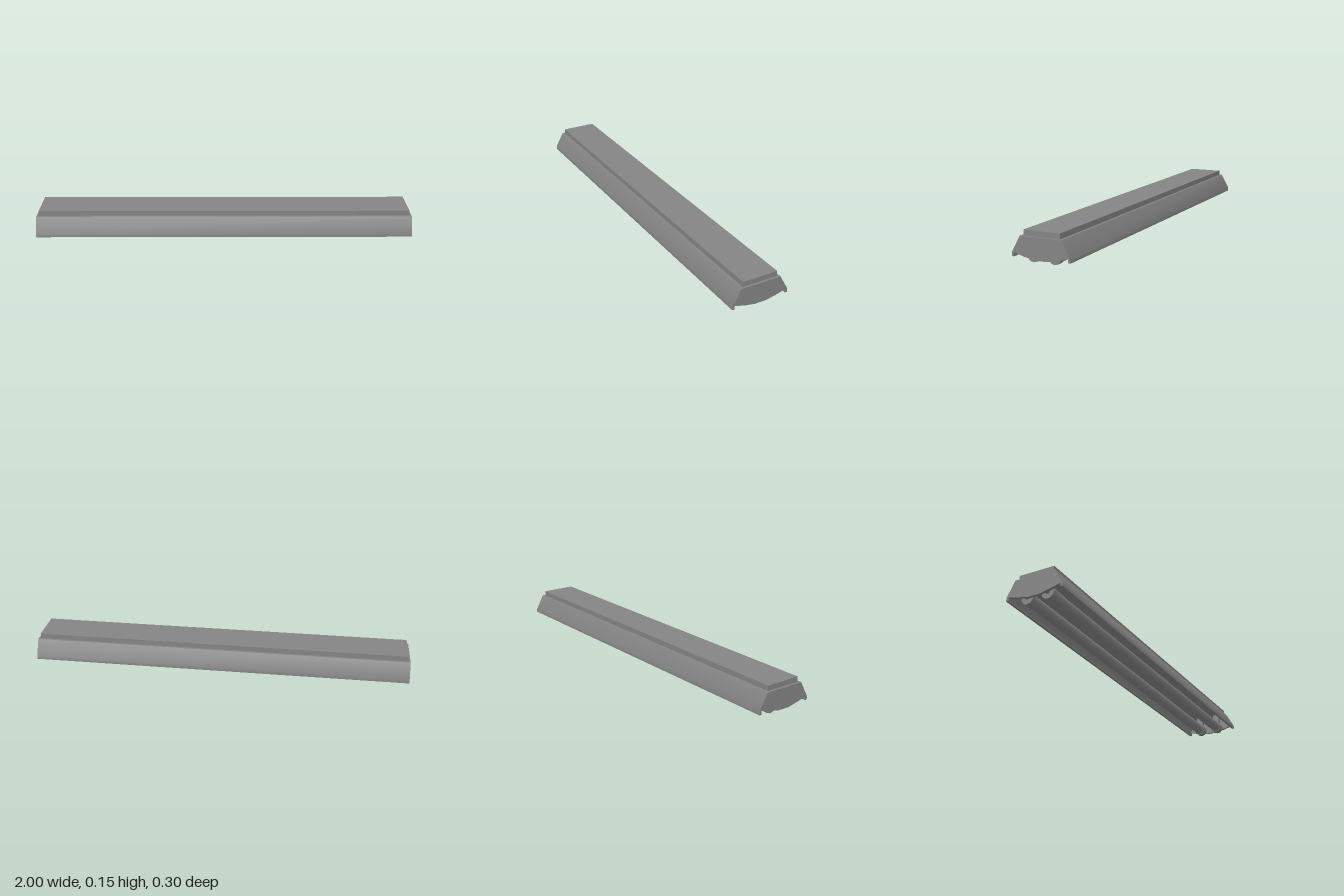
import * as THREE from 'three';
import { toCreasedNormals } from 'three/addons/utils/BufferGeometryUtils.js';

const material = new THREE.MeshStandardMaterial({ color: 0x848484 });

// Extrudes a (z, y) outline along x, centred on the given x
function extrudeAlongX(points, length, x, name) {
  const shape = new THREE.Shape(points.map(([z, y]) => new THREE.Vector2(-z, y)));
  const geometry = new THREE.ExtrudeGeometry(shape, { depth: length, bevelEnabled: false });
  geometry.translate(0, 0, -length / 2);
  geometry.rotateY(Math.PI / 2);
  const mesh = new THREE.Mesh(toCreasedNormals(geometry, 0.6), material);
  mesh.position.x = x;
  mesh.name = name;
  return mesh;
}

// Completes a half outline with its mirror image across z = 0
function mirrored(half) {
  return [...half, ...half.map(([z, y]) => [-z, y]).reverse()];
}

function box(w, h, d, x, y, z, name) {
  const mesh = new THREE.Mesh(new THREE.BoxGeometry(w, h, d), material);
  mesh.position.set(x, y, z);
  mesh.name = name;
  return mesh;
}

function rod(radius, length, sides, x, y, z, name) {
  const geometry = new THREE.CylinderGeometry(radius, radius, length, sides);
  geometry.rotateZ(Math.PI / 2);
  const mesh = new THREE.Mesh(geometry, material);
  mesh.position.set(x, y, z);
  mesh.name = name;
  return mesh;
}

export function createModel() {
  const model = new THREE.Group();
  model.name = 'tubeLightFixture';

  // Mounting box on the roof
  model.add(box(1.976, 0.027, 0.188, 0, 0.1375, 0, 'mountingBox'));

  // Hollow housing with sloping sides and vertical lips
  const housing = mirrored([
    [0.107, 0.124], [0.152, 0.043], [0.152, 0.025], [0.14, 0.025], [0.14, 0.043], [0.1, 0.113],
  ]);
  model.add(extrudeAlongX(housing, 1.998, 0, 'housing'));

  // End plates closing the housing, lower edge bowed downwards
  const plate = mirrored([
    [0.1068, 0.1238], [0.1518, 0.043], [0.1518, 0.0252], [0.1402, 0.0252],
    [0.1402, 0.043], [0.085, 0.029], [0.03, 0.018],
  ]);
  for (const side of [-1, 1]) {
    model.add(extrudeAlongX(plate, 0.014, side * 0.993, side > 0 ? 'leftEndPlate' : 'rightEndPlate'));
  }

  // Two tubes with their sockets, pins and holders
  const tubeY = 0.033;
  for (const z of [-0.055, 0.055]) {
    const lamp = new THREE.Group();
    lamp.name = z > 0 ? 'frontLamp' : 'backLamp';
    lamp.add(rod(0.0295, 1.88, 16, 0, tubeY, z, 'tube'));
    for (const side of [-1, 1]) {
      lamp.add(rod(0.033, 0.036, 12, side * 0.953, tubeY, z, 'socket'));
      lamp.add(rod(0.012, 0.02, 10, side * 0.978, tubeY + 0.004, z, 'socketPin'));
      lamp.add(box(0.025, 0.07, 0.036, side * 0.953, 0.082, z, 'holder'));
    }
    model.add(lamp);
  }
  return model;
}
